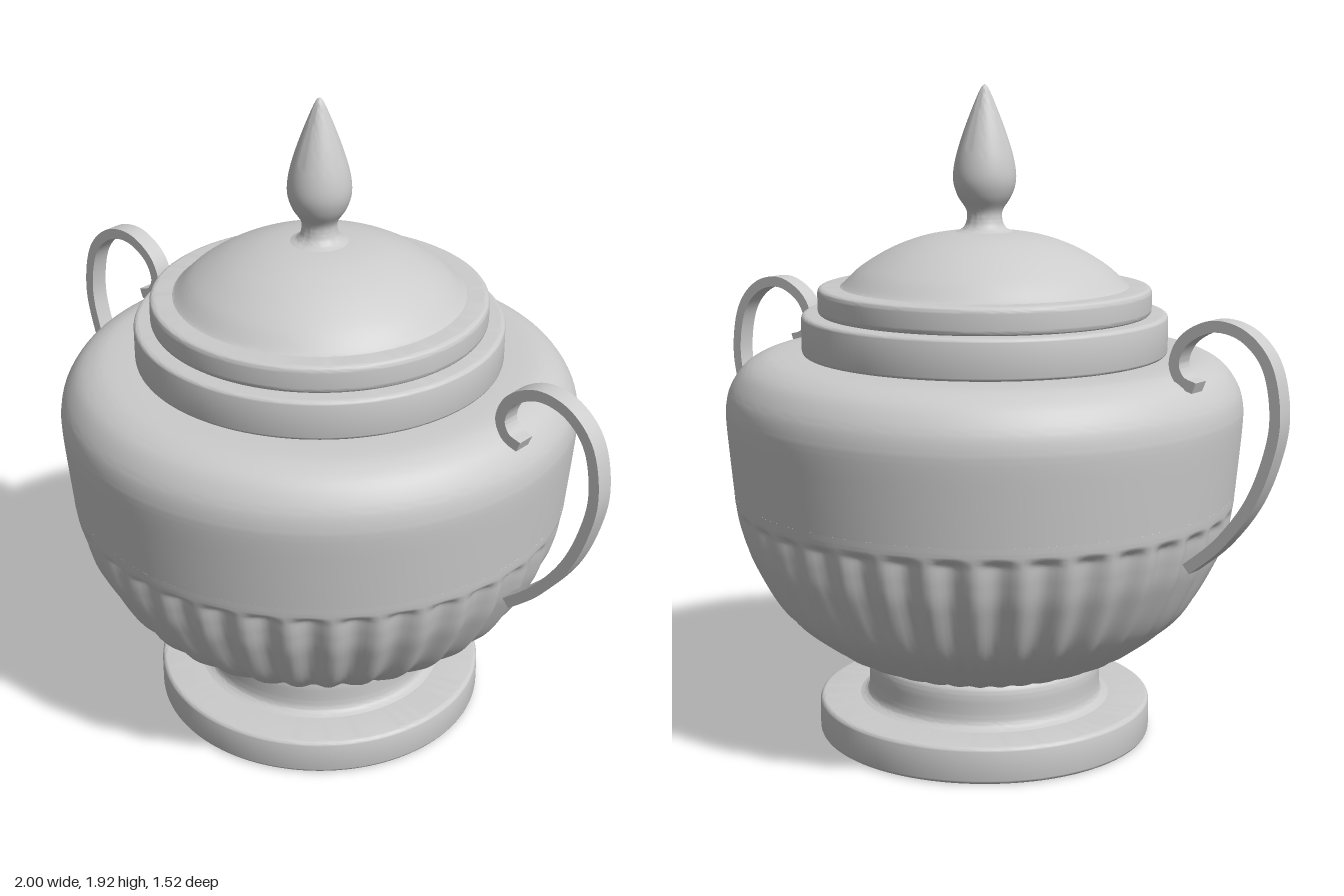
import * as THREE from 'three';
import { toCreasedNormals } from 'three/addons/utils/BufferGeometryUtils.js';

const material = new THREE.MeshStandardMaterial({ color: 0xcccccc });

function addMesh(parent, name, geometry, crease = 0.6) {
  const mesh = new THREE.Mesh(toCreasedNormals(geometry, crease), material);
  mesh.name = name;
  parent.add(mesh);
  return mesh;
}

const vectors = (list) => list.map(([x, y]) => new THREE.Vector2(x, y));
const smooth = (list, n) => new THREE.SplineCurve(vectors(list)).getPoints(n);

// Stepped ring with softened corners, from (r0, y0) out to r and up to y1, then in to r1
function ring(r0, y0, r, y1, r1, bevel) {
  const path = new THREE.Path();
  path.moveTo(r0, y0);
  path.lineTo(r - bevel, y0);
  path.quadraticCurveTo(r, y0, r, y0 + bevel);
  path.lineTo(r, y1 - bevel);
  path.quadraticCurveTo(r, y1, r - bevel, y1);
  path.lineTo(r1, y1);
  return path.getPoints(6);
}

// Bowl wall with vertical grooves that end below the plain band
function flutedBowl() {
  const flutes = 36;
  const profile = smooth([[0.35, 0.235], [0.41, 0.26], [0.48, 0.3], [0.605, 0.405],
    [0.69, 0.55], [0.722, 0.64], [0.735, 0.71], [0.739, 0.75]], 56);
  const geometry = new THREE.LatheGeometry(profile, flutes * 8);
  const pos = geometry.attributes.position;
  for (let i = 0; i < pos.count; i++) {
    const x = pos.getX(i), y = pos.getY(i), z = pos.getZ(i);
    const angle = Math.atan2(x, z);
    const fade = 1 - THREE.MathUtils.smoothstep(y, 0.69, 0.72);
    const groove = 0.5 + 0.5 * Math.cos(angle * flutes);
    const k = 1 - 0.035 * fade * groove;
    pos.setXYZ(i, x * k, y, z * k);
  }
  return geometry;
}

// Flat scrolled strap: a curve thickened in its plane, then extruded
function handleGeometry() {
  const curve = new THREE.SplineCurve(vectors([
    [0.722, 0.615], [0.82, 0.7], [0.91, 0.82], [0.963, 0.95], [0.983, 1.07],
    [0.957, 1.2], [0.885, 1.277], [0.79, 1.296], [0.705, 1.255], [0.671, 1.19],
    [0.69, 1.14], [0.735, 1.122]]));
  const outer = [], inner = [];
  for (let i = 0; i <= 80; i++) {
    const p = curve.getPoint(i / 80), t = curve.getTangent(i / 80);
    const n = new THREE.Vector2(t.y, -t.x).multiplyScalar(0.016);
    outer.push(p.clone().add(n));
    inner.unshift(p.clone().sub(n));
  }
  const geometry = new THREE.ExtrudeGeometry(new THREE.Shape([...outer, ...inner]),
    { depth: 0.055, bevelEnabled: false });
  return geometry.translate(0, 0, -0.0275);
}

export function createModel() {
  const model = new THREE.Group();
  model.name = 'lidded urn';
  const vessel = new THREE.Group();
  vessel.name = 'vessel';
  vessel.position.x = -0.006;
  model.add(vessel);
  const turn = (name, points, segments = 128) =>
    addMesh(vessel, name, new THREE.LatheGeometry(points, segments));

  // Foot
  turn('footPlate', ring(0, 0, 0.497, 0.11, 0.34, 0.018));
  turn('footStem', smooth([[0.375, 0.11], [0.355, 0.12], [0.348, 0.14], [0.347, 0.17],
    [0.347, 0.2], [0.342, 0.225], [0.325, 0.243]], 24));

  // Body
  addMesh(vessel, 'flutedBowl', flutedBowl());
  turn('shoulder', smooth([[0.739, 0.75], [0.749, 0.86], [0.757, 0.96], [0.756, 1.01],
    [0.742, 1.06], [0.705, 1.112], [0.655, 1.141], [0.6, 1.151], [0.5, 1.153]], 48));

  // Lid
  turn('collar', ring(0.5, 1.15, 0.535, 1.268, 0.44, 0.016));
  turn('lidRim', ring(0.45, 1.265, 0.487, 1.345, 0.38, 0.018));
  turn('lidDome', smooth([[0.43, 1.34], [0.415, 1.35], [0.37, 1.393], [0.31, 1.433],
    [0.25, 1.463], [0.18, 1.487], [0.11, 1.5], [0.04, 1.505]], 40));

  // Finial
  turn('finial', smooth([[0.085, 1.502], [0.063, 1.513], [0.052, 1.535], [0.053, 1.565],
    [0.078, 1.605], [0.091, 1.65], [0.086, 1.705], [0.066, 1.775], [0.038, 1.85],
    [0.012, 1.91], [0, 1.923]], 44), 48);

  // Handles, one on each side
  for (const side of [1, -1]) {
    const handle = addMesh(model, side > 0 ? 'leftHandle' : 'rightHandle', handleGeometry());
    if (side < 0) handle.rotation.y = Math.PI;
  }
  return model;
}
